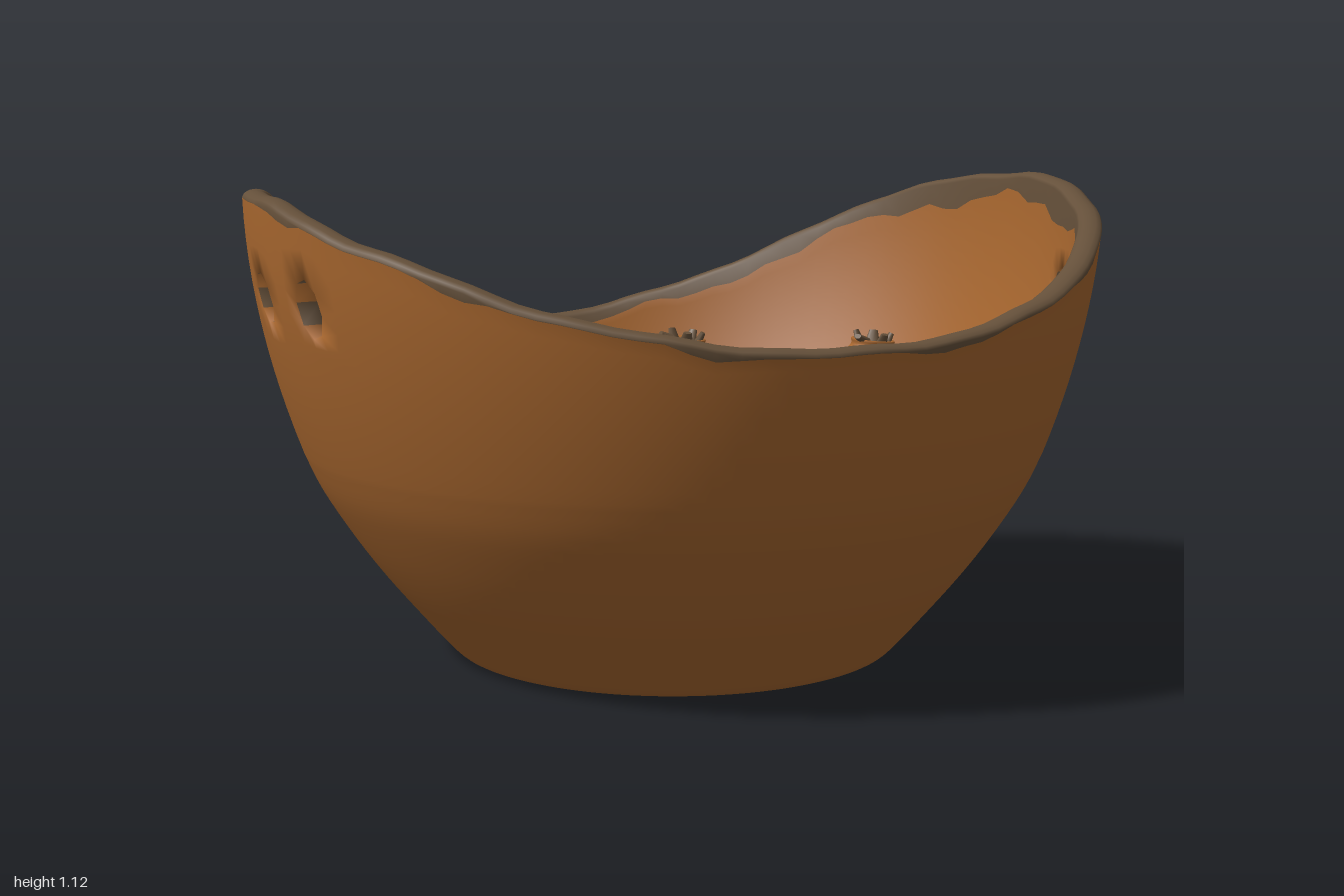
import * as THREE from 'three';

const clay = new THREE.MeshStandardMaterial({ color: 0xa8672f });
clay.name = 'clay';
const glaze = new THREE.MeshStandardMaterial({ color: 0x65503a });
glaze.name = 'darkGlaze';
const red = new THREE.MeshStandardMaterial({ color: 0x90332f });
red.name = 'fruitRed';
const leaf = new THREE.MeshStandardMaterial({ color: 0x65503a, side: THREE.DoubleSide });
leaf.name = 'driedSepal';

const SEG = 120, WALL = 12, BASE = 0.5, THICK = 0.056;

// rim height every 30 degrees, from +x towards +z
const RIM = [1.115, 1.035, 0.88, 0.822, 0.87, 1.0, 1.1, 1.06, 0.855, 0.71, 0.825, 1.04];
function rimHeight(a) {
  const t = a / (Math.PI / 6), k = Math.floor(t), f = t - k;
  const [p, q, r, s] = [-1, 0, 1, 2].map((d) => RIM[(k + d + 12) % 12]);
  const h = q + 0.5 * f * (r - p + f * (2 * p - 5 * q + 4 * r - s + f * (3 * (q - r) + s - p)));
  return h + 0.003 * Math.sin(13 * a) + 0.002 * Math.sin(29 * a + 1);
}
const outerR = (y) => 1 - 0.123 * Math.pow(Math.max(0, 1.12 - y) / 0.62, 1.9);
const innerR = (y) => outerR(y) - THICK;

// uneven lower edge of the glaze
const ragged = (a) => 0.5 + 0.25 * Math.sin(11 * a) + 0.15 * Math.sin(23 * a + 2) + 0.1 * Math.sin(37 * a);
const outerBand = (a) => Math.max(0.002, 0.032 * ragged(a) - 0.012);
const innerBand = (a) => 0.006 + 0.03 * ragged(a) + 0.06 * Math.cos(a) ** 2 * ragged(a + 1);

function sample(points, n) {
  return new THREE.SplineCurve(points.map((p) => new THREE.Vector2(...p))).getPoints(n);
}

// each row gives [radius, height] for an angle: underside, outer wall, lip, inner wall, floor
function bowlRows() {
  const rows = [];
  const under = sample([[0.002, 0.075], [0.05, 0.09], [0.12, 0.115], [0.2, 0.095], [0.26, 0.08], [0.3, 0.11],
    [0.37, 0.12], [0.41, 0.08], [0.435, 0.018], [0.475, 0], [0.515, 0.005], [0.55, 0.035],
    [0.62, 0.115], [0.695, 0.205], [0.765, 0.3], [0.835, 0.41], [0.877, BASE]], 64);
  under.slice(0, -1).forEach((p) => rows.push(() => [p.x, Math.max(0, p.y)]));
  const outStart = rows.length;
  for (let j = 0; j <= WALL; j++) rows.push((a) => {
    const y = BASE + (rimHeight(a) - 0.015 - outerBand(a) - BASE) * j / WALL;
    return [outerR(y), y];
  });
  const lipStart = rows.length - 1;
  for (let j = 0; j <= 6; j++) rows.push((a) => {
    const h = rimHeight(a), t = Math.PI * j / 6;
    return [outerR(h) - THICK / 2 * (1 - Math.cos(t)), h - 0.015 + 0.015 * Math.sin(t)];
  });
  const inStart = rows.length;
  for (let j = WALL; j >= 0; j--) rows.push((a) => {
    const y = BASE + (rimHeight(a) - 0.015 - innerBand(a) - BASE) * j / WALL;
    return [innerR(y), y];
  });
  const floor = sample([[innerR(BASE), BASE], [0.777, 0.41], [0.705, 0.31], [0.6, 0.235], [0.45, 0.19],
    [0.25, 0.175], [0.002, 0.17]], 30);
  floor.slice(1).forEach((p) => rows.push(() => [p.x, p.y]));
  return { rows, outStart, lipStart, inStart };
}

// handle holes: column, height, half width, half height and slant
const HOLES = [
  { col: 7, y: 0.87, w: 0.058, h: 0.036, tilt: 0.2 },
  { col: 55, y: 0.87, w: 0.052, h: 0.064, tilt: 0.3 },
  { col: 60, y: 0.875, w: 0.06, h: 0.054, tilt: 0.5 },
];

function makeBowl() {
  const { rows, outStart, lipStart, inStart } = bowlRows();
  const id = (i, j) => j * SEG + (i + SEG) % SEG;
  const pos = [], faces = [[], []], open = new Set(), stained = new Set();
  const rowFor = (hole) => {
    const h = rimHeight(hole.col / SEG * 2 * Math.PI);
    return Math.round((hole.y - BASE) / (h - 0.05 - BASE) * WALL);
  };

  rows.forEach((row, j) => {
    for (let i = 0; i < SEG; i++) {
      let a = i / SEG * 2 * Math.PI;
      let [r, y] = row(a);
      // gather the grid around each hole into an oval
      for (const hole of HOLES) {
        const k = rowFor(hole), isOut = j >= outStart && j <= lipStart;
        const isIn = j >= inStart && j <= inStart + WALL;
        if (!isOut && !isIn) continue;
        const du = i - hole.col, dv = (isOut ? j - outStart : inStart + WALL - j) - k;
        const ring = Math.max(Math.abs(du), Math.abs(dv));
        if (ring > 3 || (ring > 2 && hole.col > 50)) continue;
        const wgt = ring <= 1 ? 1 : ring === 2 ? 0.4 : 0.15;
        const phi = Math.atan2(dv, du), c = Math.cos(phi) * ring, s = Math.sin(phi) * ring;
        const ta = hole.col / SEG * 2 * Math.PI + hole.w * c;
        const ty = hole.y + hole.h * (s + hole.tilt * c * 0.6);
        a += (ta - a) * wgt;
        y += (ty - y) * wgt;
        r = isOut ? outerR(y) : innerR(y);
      }
      pos.push(r * Math.cos(a), y, r * Math.sin(a));
    }
  });

  // cut the holes and line them
  const ringSteps = [[1, 0], [1, 1], [0, 1], [-1, 1], [-1, 0], [-1, -1], [0, -1], [1, -1]];
  for (const hole of HOLES) {
    const k = rowFor(hole), jo = outStart + k, ji = inStart + WALL - k;
    for (const du of [-1, 0]) for (const dv of [-1, 0]) {
      open.add(id(hole.col + du, jo + dv));
      open.add(id(hole.col + du, ji + dv));
    }
    ringSteps.forEach(([u, v], n) => {
      const [u2, v2] = ringSteps[(n + 1) % 8];
      const o0 = id(hole.col + u, jo + v), o1 = id(hole.col + u2, jo + v2);
      const n0 = id(hole.col + u, ji - v), n1 = id(hole.col + u2, ji - v2);
      faces[n % 2].push(o0, n1, o1, o0, n0, n1);
    });
  }
  // stray spots of glaze
  for (const [i, j] of [[3, 10], [4, 10], [64, 9], [-1, 11], [0, 11], [1, 11]]) stained.add(id(i, outStart + j));

  for (let j = 0; j < rows.length - 1; j++) for (let i = 0; i < SEG; i++) {
    const a = id(i, j), b = id(i, j + 1), c = id(i + 1, j + 1), d = id(i + 1, j);
    if (open.has(a)) continue;
    const dark = (j >= lipStart && j < inStart) || stained.has(a);
    faces[dark ? 1 : 0].push(a, b, c, a, c, d);
  }
  const geo = new THREE.BufferGeometry();
  geo.setAttribute('position', new THREE.Float32BufferAttribute(pos, 3));
  geo.setIndex(faces.flat());
  geo.addGroup(0, faces[0].length, 0);
  geo.addGroup(faces[0].length, faces[1].length, 1);
  geo.computeVertexNormals();
  const bowl = new THREE.Mesh(geo, [clay, glaze]);
  bowl.name = 'bowl';
  bowl.position.z = -0.01;
  return bowl;
}

function add(group, geo, mat, name) {
  const mesh = new THREE.Mesh(geo, mat);
  mesh.name = name;
  group.add(mesh);
  return mesh;
}

function makeFruit(turn) {
  const fruit = new THREE.Group();
  fruit.name = 'fruit';
  // softly lobed body
  const body = new THREE.SphereGeometry(0.265, 48, 32);
  const p = body.attributes.position;
  for (let i = 0; i < p.count; i++) {
    const x = p.getX(i), y = p.getY(i), z = p.getZ(i);
    const side = Math.hypot(x, z) / 0.265;
    const k = 1 + 0.02 * side ** 2 * Math.cos(6 * Math.atan2(z, x) + turn);
    p.setXYZ(i, x * k, y * 0.94, z * k);
  }
  body.computeVertexNormals();
  add(fruit, body, red, 'fruitBody');
  // crown: clay-coloured collar with a dark heart and short curled sepals
  const collar = sample([[0.072, 0.235], [0.06, 0.25], [0.05, 0.265], [0.052, 0.277], [0.042, 0.276], [0.034, 0.262]], 14);
  add(fruit, new THREE.LatheGeometry(collar, 24), clay, 'crownCollar');
  const heart = add(fruit, new THREE.CircleGeometry(0.038, 16), leaf, 'crownHeart');
  heart.rotation.x = -Math.PI / 2;
  heart.position.y = 0.265;
  for (let i = 0; i < 5; i++) {
    const arm = new THREE.Group();
    arm.name = 'sepal';
    arm.rotation.y = turn + i * Math.PI * 0.4;
    const sepal = add(arm, new THREE.CylinderGeometry(0.01, 0.018, 0.032, 8), leaf, 'sepalTip');
    sepal.scale.x = 0.6;
    sepal.position.set(i === 0 ? 0.048 : 0.038, 0.28, 0);
    sepal.rotation.z = i === 0 ? -1.2 : -0.4;
    fruit.add(arm);
  }
  return fruit;
}

export function createModel() {
  const model = new THREE.Group();
  model.name = 'fruitBowl';
  model.add(makeBowl());
  for (const [x, y, z, turn] of [[-0.34, 0.44, 0.265, 2.9], [-0.005, 0.465, 0, 3.2], [0.395, 0.465, 0.2, 3.6]]) {
    const fruit = makeFruit(turn);
    fruit.position.set(x, y, z);
    fruit.rotation.set(0.03, 0, -0.09);
    model.add(fruit);
  }
  return model;
}
